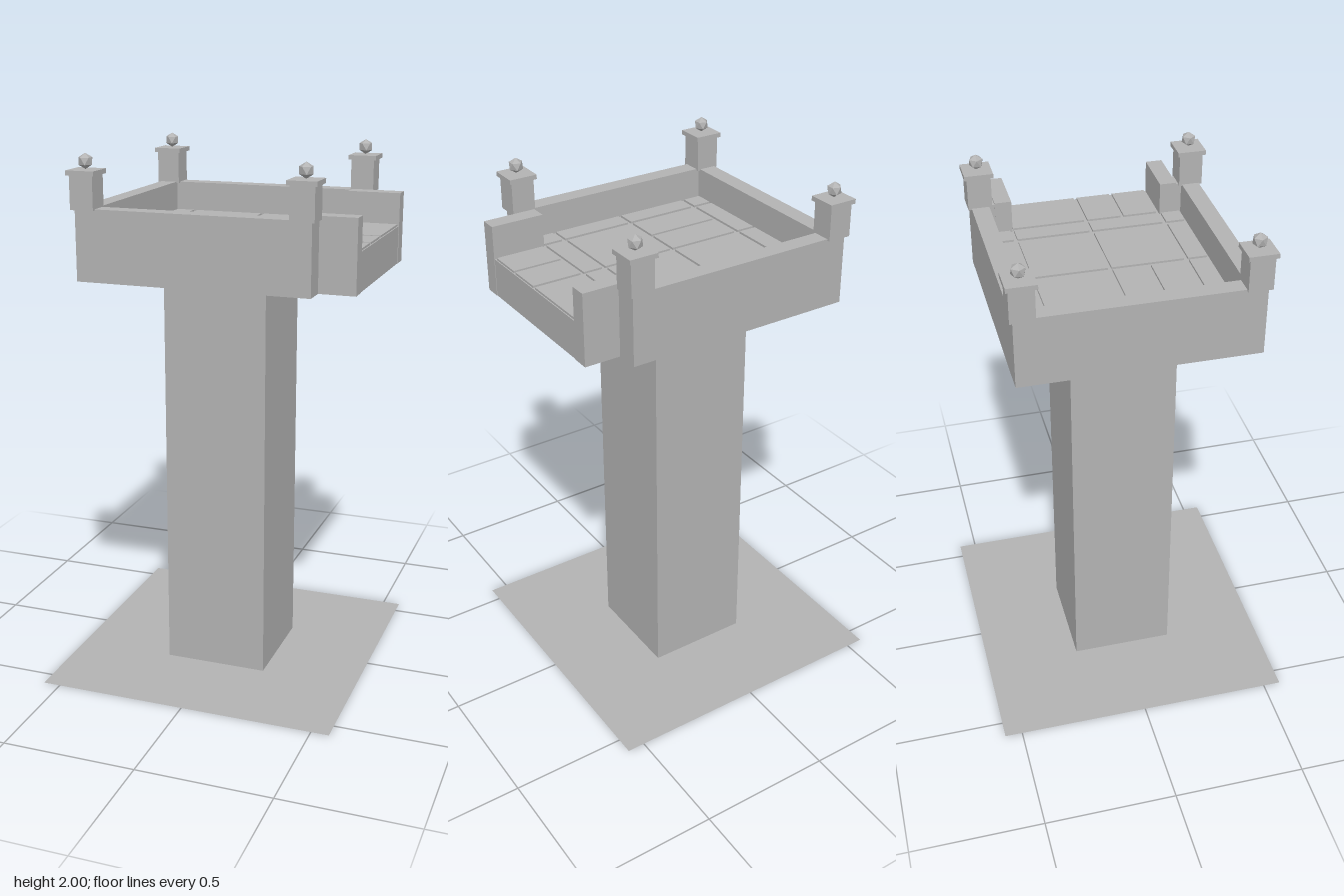
import * as THREE from 'three';

export function createModel() {
  const model = new THREE.Group();
  const stone = new THREE.MeshStandardMaterial({ color: 0xb3b3b3 });
  stone.name = 'stone';
  const ground = new THREE.MeshStandardMaterial({ color: 0xb3b3b3, side: THREE.DoubleSide });
  ground.name = 'ground stone';

  // Box given by its two extreme corners
  function box(name, x0, x1, y0, y1, z0, z1, parent = model) {
    const mesh = new THREE.Mesh(new THREE.BoxGeometry(x1 - x0, y1 - y0, z1 - z0), stone);
    mesh.position.set((x0 + x1) / 2, (y0 + y1) / 2, (z0 + z1) / 2);
    mesh.name = name;
    parent.add(mesh);
    return mesh;
  }

  // Ground sheet
  const sheet = new THREE.Mesh(new THREE.PlaneGeometry(1.134, 1.134), ground);
  sheet.rotation.x = -Math.PI / 2;
  sheet.name = 'groundSheet';
  model.add(sheet);

  // Column and platform floor
  box('column', -0.197, 0.197, 0, 1.55, -0.197, 0.197);
  const bottom = 1.55, floor = 1.692, rim = 1.81;
  box('platformFloor', -0.432, 0.432, bottom, floor, -0.432, 0.432);
  box('landingFloor', 0.432, 0.564, bottom, floor, -0.345, 0.345);

  // Parapets, with short returns beside the landing
  box('leftParapet', -0.432, -0.367, floor, rim, -0.432, 0.432);
  for (const s of [-1, 1]) {
    const span = (a, b) => [Math.min(s * a, s * b), Math.max(s * a, s * b)];
    box('sideParapet', -0.367, 0.432, floor, rim, ...span(0.367, 0.432));
    box('cornerReturn', 0.367, 0.432, floor, rim, ...span(0.345, 0.367));
    box('landingParapet', 0.365, 0.566, floor, 1.816, ...span(0.284, 0.346));
    box('landingCheek', 0.432, 0.566, bottom, floor, ...span(0.284, 0.346));
  }

  // Raised paving slabs, separated by narrow joints
  const tiles = new THREE.Group();
  tiles.name = 'paving';
  model.add(tiles);
  const outer = [[-0.365, -0.294], [0.289, 0.36]];
  const whole = [[-0.28, -0.008], [0.005, 0.274]];
  const split = [[-0.28, -0.008], [0.005, 0.134], [0.146, 0.274]];
  const columns = [
    [-0.365, -0.295, [...outer, ...whole]],
    [-0.28, -0.008, [...outer, ...split]],
    [0.005, 0.274, [...outer, ...whole]],
    [0.289, 0.361, [...outer, ...whole]],
    [0.375, 0.56, split],
  ];
  for (const [x0, x1, rows] of columns)
    for (const [z0, z1] of rows) box('slab', x0, x1, floor, 1.7, z0, z1, tiles);

  // Corner posts with flat caps and faceted finials
  const ball = new THREE.IcosahedronGeometry(0.028, 0);
  ball.rotateZ(Math.atan(2 / (1 + Math.sqrt(5))));
  for (const x of [-0.4, 0.4]) for (const z of [-0.4, 0.4]) {
    const post = new THREE.Group();
    post.name = 'cornerPost';
    post.position.set(x, 0, z);
    box('shaft', -0.044, 0.044, 1.805, 1.926, -0.044, 0.044, post);
    box('cap', -0.053, 0.053, 1.926, 1.943, -0.053, 0.053, post);
    const finial = new THREE.Mesh(ball, stone);
    finial.position.y = 1.972;
    finial.name = 'finial';
    post.add(finial);
    model.add(post);
  }
  return model;
}
